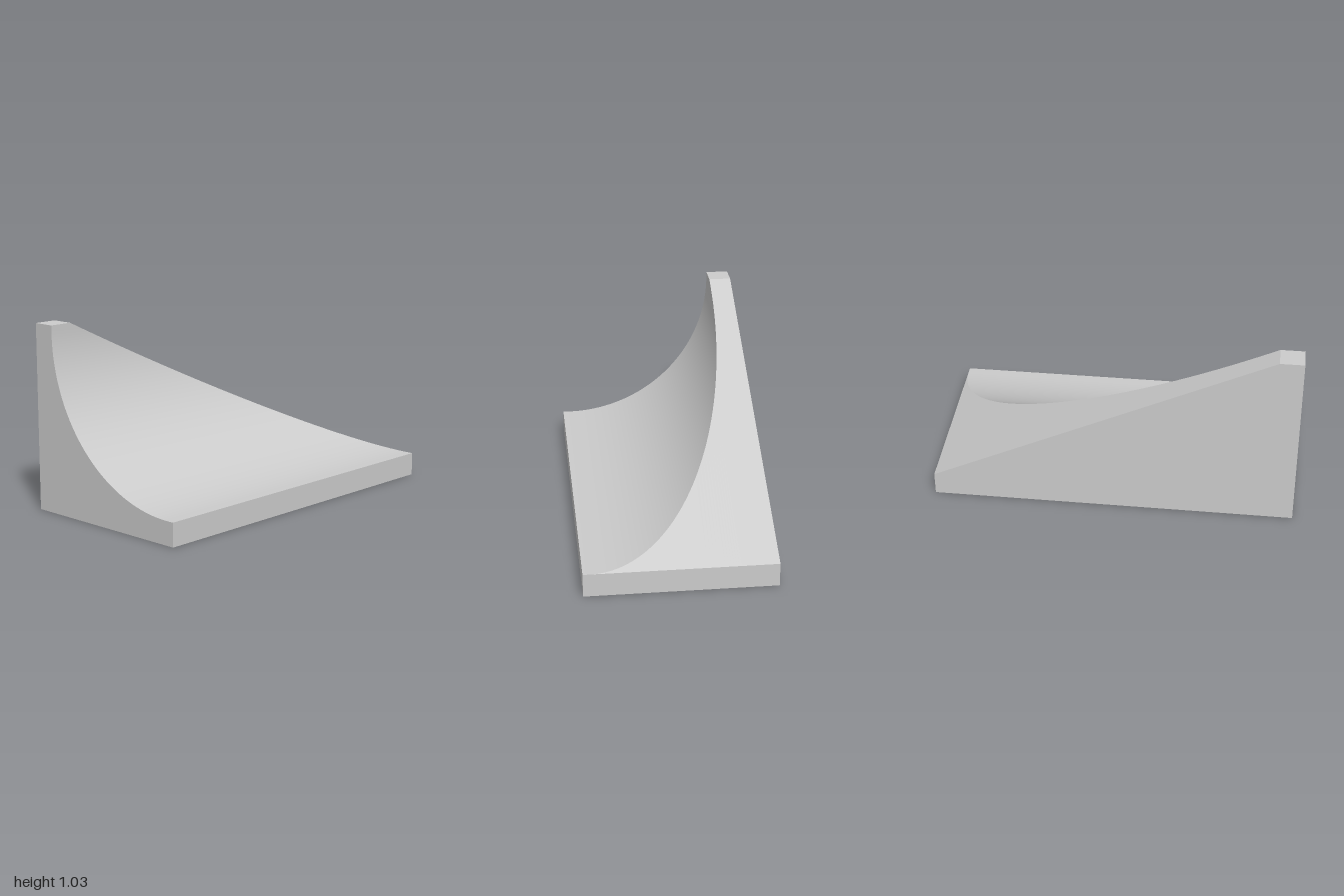
import * as THREE from 'three';
import { toCreasedNormals } from 'three/addons/utils/BufferGeometryUtils.js';

const HALF = 0.515, TOP = 1.03, SLAB = 0.13;      // half width, wall height, slab height
const CX = 0.475, CY = 0.993, R = 0.863;          // concave fillet
const STEPS = 48;

// Rear limit of the body at height y: the back slopes from the wall top to the slab
const backZ = (y) => -1 + ((y - SLAB) / (TOP - SLAB)) * 1.87;

// Upper outline from the wall top, down the fillet, to the slab edge
function outline() {
  const pts = [[-HALF, TOP], [CX - R, TOP]];
  for (let i = 0; i <= STEPS; i++) {
    const a = Math.PI + (i / STEPS) * Math.PI / 2;
    pts.push([CX + R * Math.cos(a), Math.max(SLAB, CY + R * Math.sin(a))]);
  }
  pts.push([HALF, SLAB]);
  return pts;
}

// Loft side-on cross-sections along x and close both ends
function rampGeometry() {
  const rings = outline().map(([x, y]) => [
    [0, 1], [y, 1], [y, backZ(y)], [SLAB, -1], [0, -1],
  ].map(([h, z]) => new THREE.Vector3(x, h, z)));

  const pos = [];
  const tri = (a, b, c) => {
    if (new THREE.Triangle(a, b, c).getArea() < 1e-8) return;
    for (const p of [a, b, c]) pos.push(p.x, p.y, p.z);
  };

  for (let i = 0; i < rings.length - 1; i++) {
    const r = rings[i], s = rings[i + 1];
    for (let k = 0; k < 5; k++) {
      const n = (k + 1) % 5;
      tri(r[k], s[k], s[n]);
      tri(r[k], s[n], r[n]);
    }
  }
  const first = rings[0], last = rings[rings.length - 1];
  for (let k = 1; k < 4; k++) {
    tri(first[0], first[k], first[k + 1]);
    tri(last[0], last[k + 1], last[k]);
  }

  const geo = new THREE.BufferGeometry();
  geo.setAttribute('position', new THREE.Float32BufferAttribute(pos, 3));
  return toCreasedNormals(geo, 0.3);
}

export function createModel() {
  const group = new THREE.Group();
  group.name = 'curvedRampBlock';
  const body = new THREE.Mesh(rampGeometry(), new THREE.MeshStandardMaterial({ color: 0xcccccc }));
  body.name = 'filletedWedge';
  group.add(body);
  return group;
}
